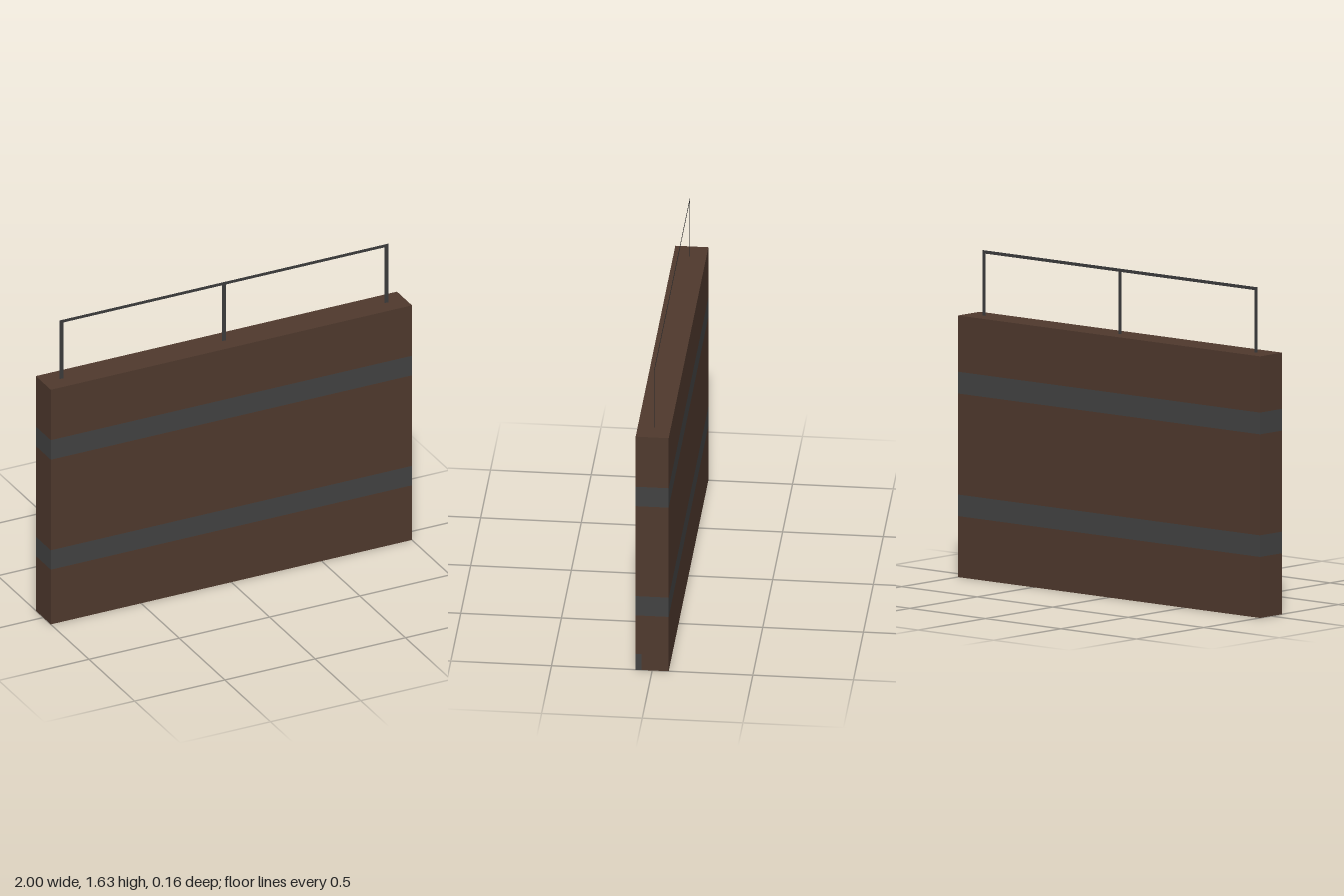
import * as THREE from 'three';

const W = 2, H = 1.308, D = 0.164;

export function createModel() {
  const group = new THREE.Group();
  const make = (name, color) => {
    const m = new THREE.MeshStandardMaterial({ color, side: THREE.DoubleSide });
    m.name = name;
    return m;
  };
  const wood = make('brown wood', 0x4f392d);
  const iron = make('grey iron', 0x424242);
  const railPaint = make('dark rail', 0x3b3b3c);

  // Upright rectangle spanning y0 to y1, turned about the vertical axis
  const panel = (name, mat, width, y0, y1, x, z, turn = 0) => {
    const mesh = new THREE.Mesh(new THREE.PlaneGeometry(width, y1 - y0), mat);
    mesh.position.set(x, (y0 + y1) / 2, z);
    mesh.rotation.y = turn;
    mesh.name = name;
    group.add(mesh);
    return mesh;
  };

  // Four walls, each stacked from wood boards and iron bands; the bottom is open
  const levels = [0, 0.305, 0.413, 0.918, 1.027, H];
  const walls = [
    ['front', W, 0, D / 2, 0],
    ['right', D, W / 2, 0, Math.PI / 2],
    ['back', W, 0, -D / 2, Math.PI],
    ['left', D, -W / 2, 0, -Math.PI / 2],
  ];
  for (const [side, width, x, z, turn] of walls) {
    for (let i = 0; i < levels.length - 1; i++) {
      const band = i % 2 === 1;
      panel(side + (band ? 'Band' : 'Boards'), band ? iron : wood, width, levels[i], levels[i + 1], x, z, turn);
    }
  }

  // Small iron corner plate at the foot of one end
  panel('cornerPlate', iron, 0.03, 0, 0.09, W / 2 + 0.001, D / 2 - 0.015, Math.PI / 2);

  // Top board
  const top = new THREE.Mesh(new THREE.PlaneGeometry(W, D), wood);
  top.rotation.x = -Math.PI / 2;
  top.position.y = H;
  top.name = 'topBoard';
  group.add(top);

  // Flat guard rail on three posts
  const railTop = 1.635, bar = 0.016, post = 0.021;
  for (const x of [-0.9, 0, 0.9]) panel('railPost', railPaint, post, H, railTop - bar, x, 0);
  panel('handRail', railPaint, 1.8 + post, railTop - bar, railTop, 0, 0);

  return group;
}
